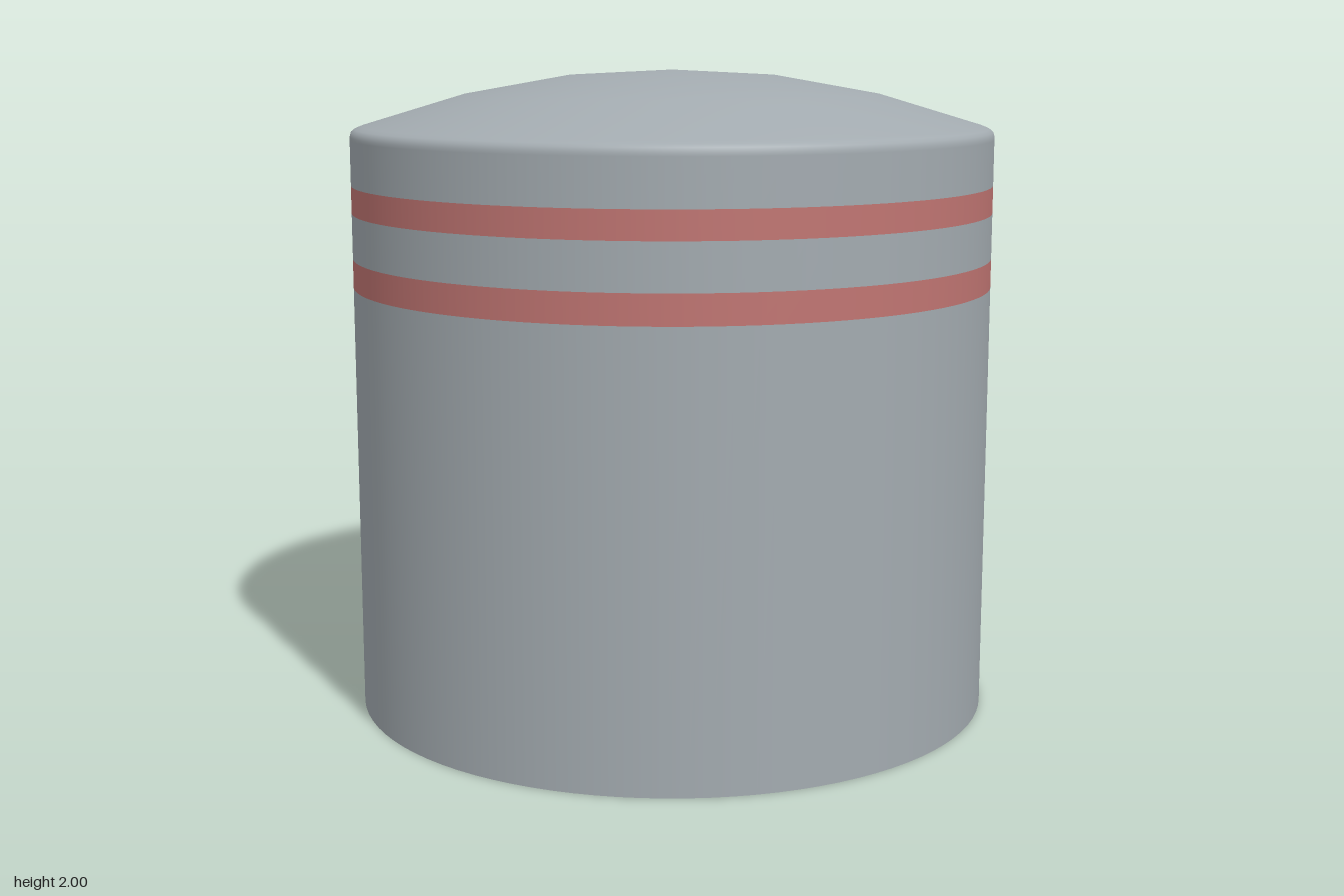
import * as THREE from 'three';

const SIDES = 96;

export function createModel() {
  const tank = new THREE.Group();
  tank.name = 'storageTank';

  const steel = new THREE.MeshStandardMaterial({ color: 0xa3abb0 });
  steel.name = 'grey steel';
  const red = new THREE.MeshStandardMaterial({ color: 0xc07572 });
  red.name = 'faded red';

  const add = (name, geometry, material) => {
    const mesh = new THREE.Mesh(geometry, material);
    mesh.name = name;
    tank.add(mesh);
    return mesh;
  };

  // Wall, split into flush rings so the painted bands are whole parts
  const rings = [
    ['lowerWall', 0, 1.335, steel],
    ['lowerBand', 1.335, 1.425, red],
    ['middleWall', 1.425, 1.565, steel],
    ['upperBand', 1.565, 1.65, red],
    ['upperWall', 1.65, 1.79, steel],
  ];
  for (const [name, bottom, top, material] of rings) {
    const ring = new THREE.CylinderGeometry(1, 1, top - bottom, SIDES, 1, true);
    ring.translate(0, (bottom + top) / 2, 0);
    add(name, ring, material);
  }

  // Shallow domed roof with a small rounded rim
  const roofProfile = [
    [1, 1.79], [1, 1.8], [0.996, 1.813], [0.985, 1.822], [0.965, 1.83],
    [0.65, 1.925], [0.325, 1.983], [0, 2],
  ].map(([r, y]) => new THREE.Vector2(r, y));
  add('domedRoof', new THREE.LatheGeometry(roofProfile, SIDES), steel);

  // Flat underside
  const base = new THREE.CircleGeometry(1, SIDES);
  base.rotateX(Math.PI / 2);
  add('base', base, steel);

  return tank;
}
